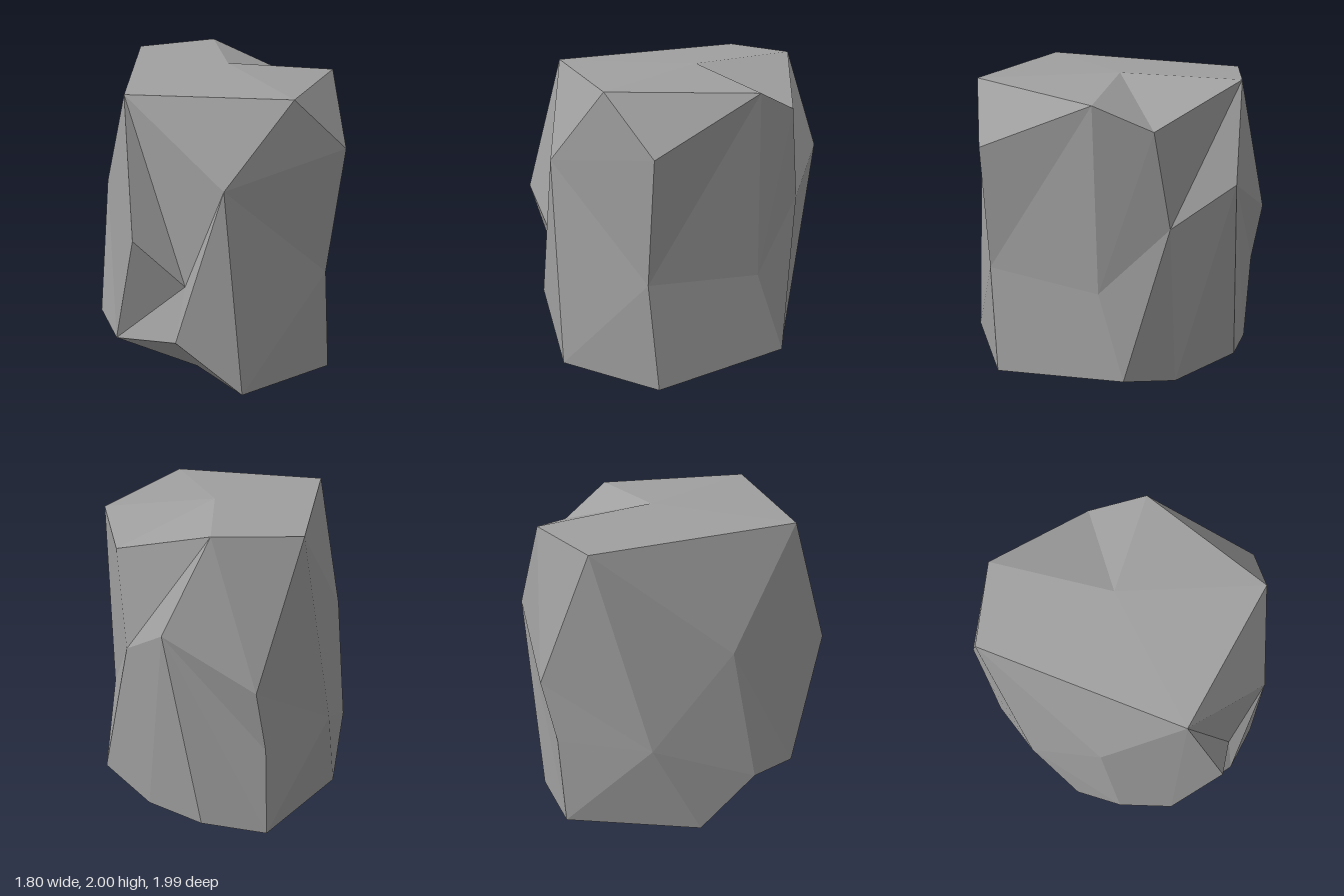
import * as THREE from 'three';

// Corner points of the boulder, by region
const corners = {
  // top rim and peak
  a: [-0.87, 1.97, -0.48], b: [-0.33, 1.98, 0.76], c: [0.655, 1.98, 0.46],
  s: [0.58, 1.94, -0.5], t: [0.3, 1.77, -0.75], u: [-0.45, 1.99, -0.83], r: [-0.04, 2, -0.15],
  // front ridges and notch
  e: [0.35, 1.47, 0.81], f: [0.09, 0.8, 0.82], g: [-0.18, 1.13, 0.99],
  h: [-0.43, 0.32, 0.8], i: [0.06, 0.44, 0.91],
  // +x side
  d: [0.9, 1.62, 0.17], q: [0.81, 0.78, 0.21], x: [0.54, 0.72, -0.515],
  // -x side
  j: [-0.69, 1.25, 0.38], k: [-0.9, 0.66, -0.12], l: [-0.69, 0.355, 0.54],
  // back
  v: [-0.21, 1.38, -1], w: [0.2, 1.14, -0.81], B: [-0.76, 1.07, -0.82], D: [-0.78, 0.66, -0.73],
  // base rim and lowest point
  n: [-0.02, 0, 0.42], o: [0.46, 0.08, 0.77], p: [0.83, 0.055, 0.145], y: [0.5, 0.155, -0.7],
  z: [0.08, 0.035, -0.78], A: [-0.41, 0.1, -0.89], C: [-0.78, 0.05, -0.7], m: [-0.8, 0.01, 0.19],
};

// Each fan is a hub corner followed by its rim, counter-clockwise from outside
const fans = [
  'rabcstua',      // top
  'noihlmCAzypo',  // underside
  'vuwzACDBu',     // back
  'kaBDCmlja',     // -x side
  'qdeopyxsd',     // +x side
  'hifgbjl',       // front lower chip
  'edcbfio',       // front upper ridge
  'wutxyz',        // back corner
  'bgf', 'ajb', 'cds', 'sxt', 'uBa', // single facets between the fans
];

export function createModel() {
  const stone = new THREE.MeshStandardMaterial({ color: 0xa0a0a0, flatShading: true });
  stone.name = 'stoneGrey';

  const positions = [];
  for (const [hub, ...rim] of fans) {
    for (let n = 0; n < rim.length - 1; n++) {
      positions.push(...corners[hub], ...corners[rim[n]], ...corners[rim[n + 1]]);
    }
  }
  const geometry = new THREE.BufferGeometry();
  geometry.setAttribute('position', new THREE.Float32BufferAttribute(positions, 3));
  geometry.computeVertexNormals();

  const boulder = new THREE.Mesh(geometry, stone);
  boulder.name = 'boulder';
  const group = new THREE.Group();
  group.name = 'rock';
  group.add(boulder);
  return group;
}
